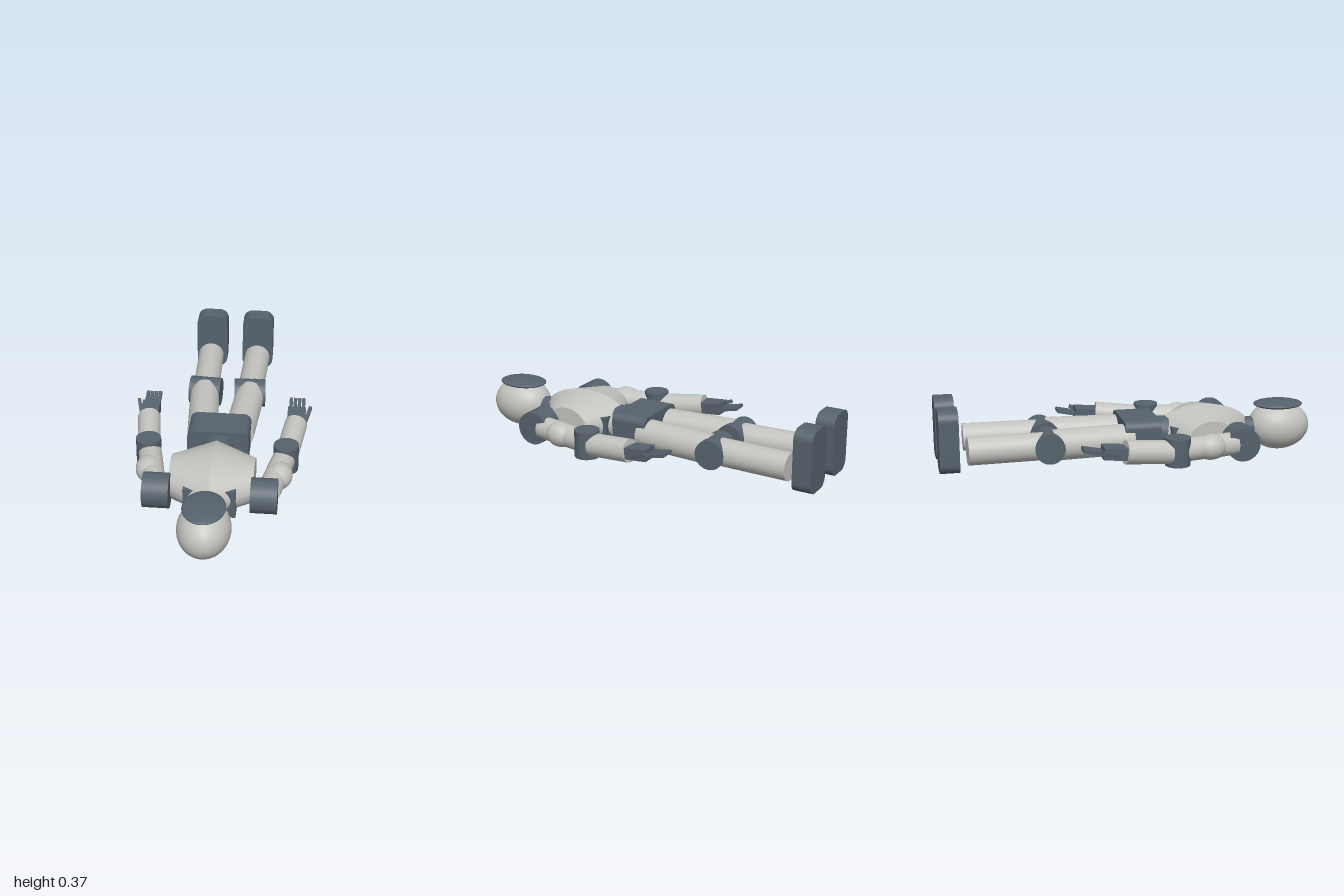
import * as THREE from 'three';

const light = new THREE.MeshStandardMaterial({ color: 0xc2c2be });
light.name = 'light shell';
const dark = new THREE.MeshStandardMaterial({ color: 0x56626d });
dark.name = 'dark joints';

export function createModel() {
  const root = new THREE.Group();
  root.name = 'lyingRobot';

  const add = (name, geo, mat, x = 0, y = 0, z = 0) => {
    const m = new THREE.Mesh(geo, mat);
    m.name = name;
    m.position.set(x, y, z);
    root.add(m);
    return m;
  };
  const ellipsoid = (name, mat, c, r) =>
    add(name, new THREE.SphereGeometry(1, 36, 24).scale(...r), mat, ...c);
  // Cylinder running from point a to point b
  const rod = (name, mat, a, b, r, sides = 32) => {
    const p = new THREE.Vector3(...a), q = new THREE.Vector3(...b);
    const d = q.clone().sub(p);
    const m = add(name, new THREE.CylinderGeometry(r, r, d.length(), sides), mat);
    m.position.copy(p).add(q).multiplyScalar(0.5);
    m.quaternion.setFromUnitVectors(new THREE.Vector3(0, 1, 0), d.normalize());
    return m;
  };
  // Block with rounded corners in xy, extruded along z
  const roundedBlock = (w, h, depth, r) => {
    const s = new THREE.Shape(), x = w / 2 - r, y = h / 2 - r;
    s.absarc(x, y, r, 0, Math.PI / 2);
    s.absarc(-x, y, r, Math.PI / 2, Math.PI);
    s.absarc(-x, -y, r, Math.PI, Math.PI * 1.5);
    s.absarc(x, -y, r, Math.PI * 1.5, Math.PI * 2);
    s.closePath();
    return new THREE.ExtrudeGeometry(s, { depth, bevelEnabled: false, curveSegments: 10 })
      .translate(0, 0, -depth / 2);
  };

  // Head, visor and neck
  ellipsoid('head', light, [0, 0.152, 0.833], [0.131, 0.131, 0.167]);
  ellipsoid('visor', dark, [0, 0.269, 0.828], [0.105, 0.021, 0.133]);
  rod('neck', dark, [0, 0.15, 0.58], [0, 0.15, 0.72], 0.055);

  // Chest core, waist and pelvis
  add('chestCore', new THREE.BoxGeometry(0.26, 0.15, 0.39), dark, 0, 0.125, 0.405);
  rod('waist', dark, [0, 0.15, 0.1], [0, 0.15, 0.25], 0.086);
  add('pelvis', roundedBlock(0.32, 0.2, 0.19, 0.04), dark, 0, 0.15, 0.05);

  for (const s of [1, -1]) {
    const side = s > 0 ? 'left' : 'right';
    const P = (x, y, z) => [s * x, y, z];

    // Chest half: elliptical frustum narrowing toward the shoulder
    const half = new THREE.CylinderGeometry(0.5, 1, 0.21, 48).translate(0, 0.105, 0);
    const pos = half.attributes.position;
    for (let i = 0; i < pos.count; i++) {
      const t = pos.getY(i) / 0.21;
      pos.setX(i, pos.getX(i) * (0.143 + 0.062 * t)); // keeps the ends taller than a plain cone
      pos.setZ(i, pos.getZ(i) * (0.265 - 0.013 * t));
    }
    half.rotateZ(-s * Math.PI / 2);
    half.computeVertexNormals();
    add(side + 'Chest', half, light, 0, 0.147, 0.405);

    // Arm
    rod(side + 'Shoulder', dark, P(0.2, 0.148, 0.537), P(0.332, 0.148, 0.537), 0.088);
    rod(side + 'UpperArm', light, P(0.284, 0.147, 0.5), P(0.348, 0.147, 0.19), 0.06);
    const biceps = ellipsoid(side + 'Biceps', light, P(0.33, 0.15, 0.36), [0.066, 0.066, 0.083]);
    biceps.rotation.y = -s * 0.2;
    rod(side + 'Elbow', dark, P(0.355, 0.075, 0.18), P(0.355, 0.219, 0.18), 0.065);
    rod(side + 'Forearm', light, P(0.36, 0.145, 0.14), P(0.393, 0.17, -0.1), 0.06);

    // Hand
    const hand = new THREE.Group();
    hand.name = side + 'Hand';
    hand.position.set(s * 0.393, 0.174, -0.16);
    root.add(hand);
    const box = (name, w, h, d, x, y, z, rx = 0, ry = 0) => {
      const m = new THREE.Mesh(new THREE.BoxGeometry(w, h, d), dark);
      m.name = name;
      m.position.set(s * x, y, z);
      m.rotation.set(rx, s * ry, 0);
      hand.add(m);
    };
    box('palm', 0.096, 0.06, 0.12, 0, 0, 0.005, 0.08);
    for (let i = 0; i < 4; i++)
      box('finger', 0.018, 0.016, 0.11, -0.034 + i * 0.0225, 0.012, -0.1, 0.2);
    box('thumb', 0.018, 0.018, 0.105, 0.06, 0.005, -0.025, 0.35, -0.24);

    // Leg
    rod(side + 'Thigh', light, P(0.096, 0.15, 0.0), P(0.126, 0.15, -0.42), 0.08);
    rod(side + 'Knee', dark, P(0.037, 0.149, -0.432), P(0.208, 0.149, -0.444), 0.077);
    rod(side + 'Shin', light, P(0.124, 0.148, -0.47), P(0.135, 0.148, -0.855), 0.072);
    add(side + 'Foot', roundedBlock(0.175, 0.322, 0.1, 0.052), dark, ...P(0.133, 0.212, -0.95));
  }

  // Centre the figure and stand it on the ground
  const b = new THREE.Box3().setFromObject(root, true);
  const c = b.getCenter(new THREE.Vector3());
  for (const m of root.children) m.position.sub(new THREE.Vector3(c.x, b.min.y, c.z));
  return root;
}
